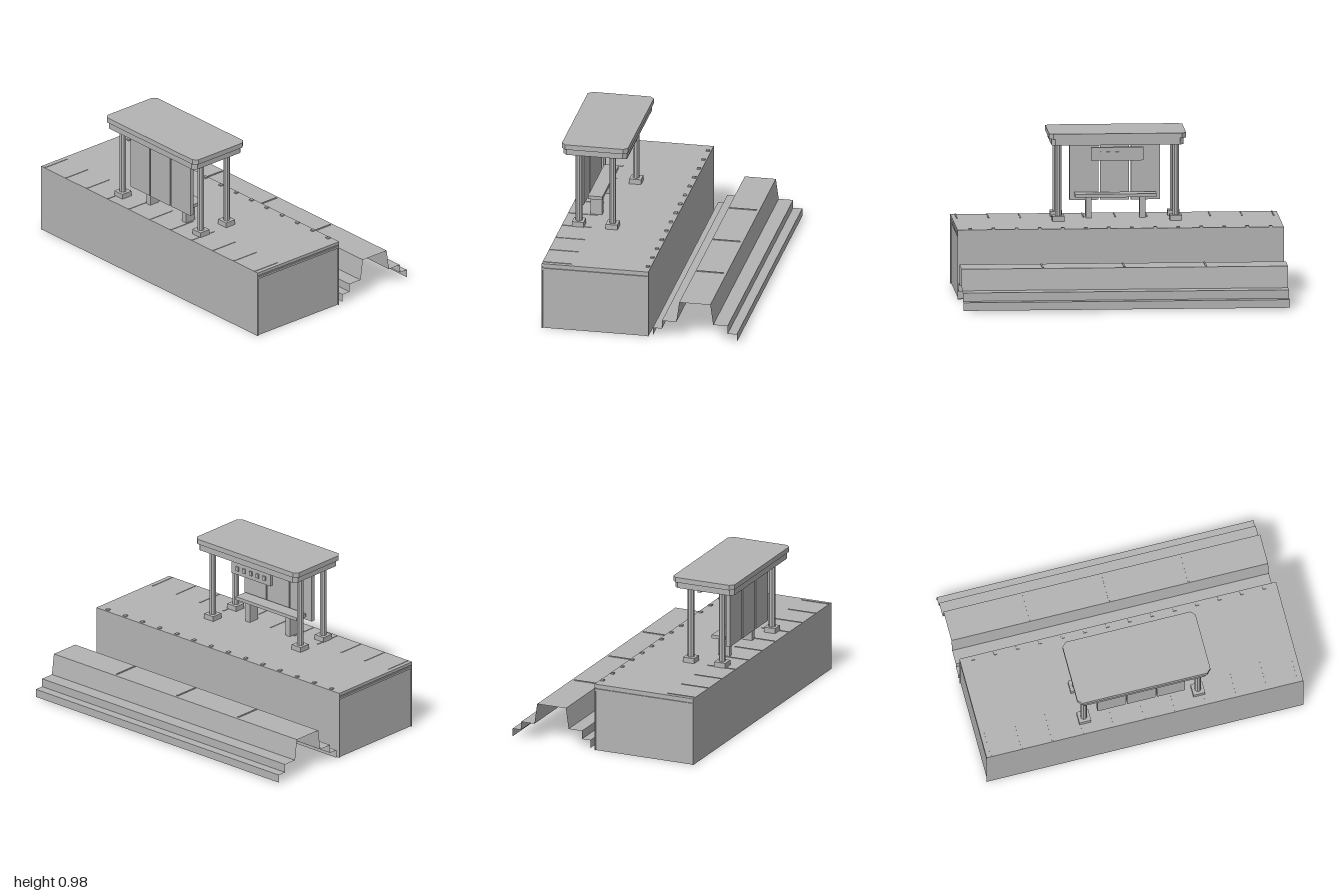
import * as THREE from 'three';

const concrete = new THREE.MeshStandardMaterial({ color: 0xb3b3b3, side: THREE.DoubleSide });
concrete.name = 'concreteGrey';

export function createModel() {
  const model = new THREE.Group();
  model.name = 'railwayStop';

  function add(name, geometry, parent = model) {
    const mesh = new THREE.Mesh(geometry, concrete);
    mesh.name = name;
    parent.add(mesh);
    return mesh;
  }
  // Box given by its limits on each axis
  function box(name, x0, x1, y0, y1, z0, z1, parent) {
    const g = new THREE.BoxGeometry(x1 - x0, y1 - y0, z1 - z0);
    g.translate((x0 + x1) / 2, (y0 + y1) / 2, (z0 + z1) / 2);
    return add(name, g, parent);
  }
  function group(name) {
    const g = new THREE.Group();
    g.name = name;
    model.add(g);
    return g;
  }

  // Hollow platform, open underneath
  const platform = group('platform');
  box('platformSlab', -1, 1, 0.408, 0.428, -0.06, 0.605, platform);
  box('frontWall', -1, 1, 0, 0.408, 0.599, 0.605, platform);
  box('backWall', -1, 1, 0, 0.408, -0.06, -0.054, platform);
  for (const s of [-1, 1]) {
    const end = box('endWall', -0.003, 0.003, 0, 0.408, -0.054, 0.599, platform);
    end.position.x = s * 0.99;
    const ledge = box('endLedge', -0.005, 0.005, 0.385, 0.398, -0.054, 0.599, platform);
    ledge.position.x = s * 0.995;
  }

  // Paving seams by the front edge and studs by the track edge
  const paving = group('paving');
  for (let i = 0; i < 11; i++) {
    const x = -0.97 + i * 0.194;
    box('pavingSeam', x - 0.004, x + 0.004, 0.428, 0.431, 0.42, 0.6, paving);
  }
  for (let i = 0; i < 14; i++) {
    const x = -0.92 + i * 0.1415;
    box('edgeStud', x - 0.01, x + 0.01, 0.428, 0.436, -0.052, -0.03, paving);
  }

  // Stepped track bed: an open sheet swept along x
  const half = [[0.262, 0.01], [0.262, 0.06], [0.205, 0.06], [0.205, 0.112], [0.115, 0.112], [0.097, 0.243]];
  const profile = [
    ...half.map(([d, y]) => [-0.35 + d, y]),
    ...half.map(([d, y]) => [-0.35 - d, y]).reverse(),
  ];
  const pos = [];
  for (let i = 0; i < profile.length - 1; i++) {
    const [za, ya] = profile[i], [zb, yb] = profile[i + 1];
    pos.push(-1, ya, za, 1, ya, za, 1, yb, zb, -1, ya, za, 1, yb, zb, -1, yb, zb);
  }
  const sheet = new THREE.BufferGeometry();
  sheet.setAttribute('position', new THREE.Float32BufferAttribute(pos, 3));
  sheet.computeVertexNormals();
  const track = group('track');
  add('trackBed', sheet, track);
  for (const x of [-0.5, 0, 0.5]) {
    box('trackSeam', x - 0.005, x + 0.005, 0.242, 0.247, -0.43, -0.26, track);
  }

  // Roof: two slabs with cut corners
  const shelter = group('shelter');
  function roofSlab(name, w, z0, z1, y0, y1, c) {
    const zc = (z0 + z1) / 2, d = (z1 - z0) / 2;
    const shape = new THREE.Shape([
      [-w + c, -d], [w - c, -d], [w, -d + c], [w, d - c],
      [w - c, d], [-w + c, d], [-w, d - c], [-w, -d + c],
    ].map(([x, y]) => new THREE.Vector2(x, y)));
    const g = new THREE.ExtrudeGeometry(shape, { depth: y1 - y0, bevelEnabled: false });
    g.rotateX(-Math.PI / 2);
    g.translate(0, y0, zc);
    add(name, g, shelter);
  }
  roofSlab('roofTop', 0.42, 0.19, 0.603, 0.945, 0.977, 0.026);
  roofSlab('roofUnderside', 0.405, 0.198, 0.596, 0.905, 0.945, 0.024);

  // Eight-sided posts on square feet
  for (const x of [-0.36, 0.36]) {
    for (const z of [0.293, 0.503]) {
      const g = new THREE.CylinderGeometry(0.021, 0.021, 0.447, 8).toNonIndexed();
      g.rotateY(Math.PI / 8);
      g.computeVertexNormals();
      add('post', g, shelter).position.set(x, 0.6815, z);
      box('postFoot', x - 0.037, x + 0.037, 0.428, 0.46, z - 0.037, z + 0.037, shelter);
    }
  }

  // Wind screen of three panels
  for (const x of [-0.188, 0, 0.188]) {
    box('screenPanel', x - 0.089, x + 0.089, 0.525, 0.888, 0.49, 0.516, shelter);
  }

  // Bench
  const bench = group('bench');
  box('seat', -0.25, 0.25, 0.555, 0.576, 0.38, 0.47, bench);
  for (const x of [-0.165, 0.165]) {
    box('benchLeg', x - 0.018, x + 0.018, 0.428, 0.555, 0.395, 0.468, bench);
  }

  // Hanging sign with a row of raised marks facing the track
  const sign = group('sign');
  box('signBoard', -0.16, 0.16, 0.803, 0.885, 0.244, 0.265, sign);
  for (let i = -2; i <= 2; i++) {
    box('signMark', i * 0.055 - 0.011, i * 0.055 + 0.011, 0.83, 0.858, 0.236, 0.244, sign);
  }

  return model;
}
